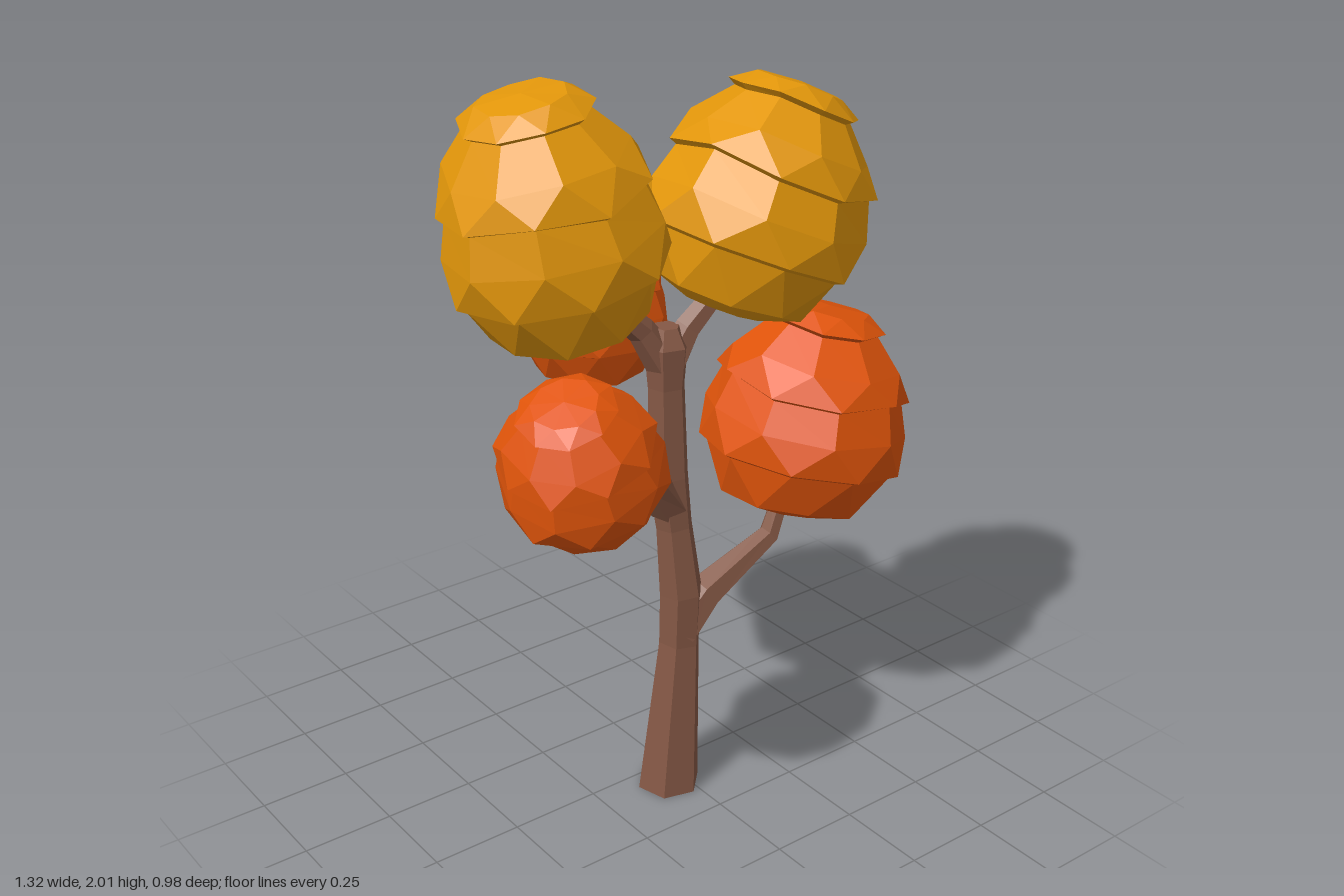
import * as THREE from 'three';

const bark = new THREE.MeshStandardMaterial({ name: 'bark brown', color: 0x855845 });
const orange = new THREE.MeshStandardMaterial({ name: 'leaf orange', color: 0xe0540a });
const yellow = new THREE.MeshStandardMaterial({ name: 'leaf yellow', color: 0xe2960a });

// Skin a list of equal-sized rings (each counter-clockwise seen from its far end), closing both ends
function skin(rings, start, end) {
  const pos = [];
  const tri = (a, b, c) => [a, b, c].forEach((p) => pos.push(p.x, p.y, p.z));
  const n = rings[0].length;
  for (let j = 0; j < n; j++) {
    const k = (j + 1) % n;
    tri(start, rings[0][k], rings[0][j]);
    for (let i = 0; i + 1 < rings.length; i++) {
      const a = rings[i], b = rings[i + 1];
      tri(a[j], a[k], b[j]);
      tri(a[k], b[k], b[j]);
    }
    const top = rings[rings.length - 1];
    tri(top[j], top[k], end);
  }
  const geo = new THREE.BufferGeometry();
  geo.setAttribute('position', new THREE.Float32BufferAttribute(pos, 3));
  geo.computeVertexNormals(); // unshared corners give faceted shading
  return geo;
}

// Tapered six-sided limb through points [x, y, z, radius]
function limb(name, pts) {
  const centres = pts.map((p) => new THREE.Vector3(p[0], p[1], p[2]));
  const rings = centres.map((c, i) => {
    const dir = centres[Math.min(i + 1, pts.length - 1)].clone()
      .sub(centres[Math.max(i - 1, 0)]).normalize();
    if (pts[i][1] === 0) dir.set(0, 1, 0); // flat foot
    const turn = new THREE.Quaternion().setFromUnitVectors(new THREE.Vector3(0, 1, 0), dir);
    return Array.from({ length: 6 }, (_, j) => {
      const a = (j / 6) * Math.PI * 2 + Math.PI / 12;
      return new THREE.Vector3(Math.sin(a), 0, Math.cos(a))
        .multiplyScalar(pts[i][3]).applyQuaternion(turn).add(c);
    });
  });
  const mesh = new THREE.Mesh(skin(rings, centres[0], centres[centres.length - 1]), bark);
  mesh.name = name;
  return mesh;
}

// Leaf clump profile from bottom to top: [radius, height, half-steps of twist, waviness]
const TIERS = [
  [0.38, -0.97, 0, 0],
  [0.72, -0.86, 1, 0.02],
  [0.92, -0.45, 2, 0],
  [1.00, -0.42, 2, 0],      // lower ledge
  [1.00, -0.10, 3, 0.03],
  [0.89, 0.22, 3, 0.05],
  [0.96, 0.25, 3, 0.05],    // middle ledge
  [0.82, 0.50, 4, 0.03],
  [0.53, 0.80, 4, 0.02],
  [0.60, 0.84, 4, 0.02],    // cap ledge
  [0.40, 0.97, 5, 0.01],
];

function clump(name, material, [x, y, z], radius, half, axis, seed) {
  const n = 9;
  const rings = TIERS.map(([r, h, twist, wave]) =>
    Array.from({ length: n }, (_, j) => {
      const a = ((j + twist * 0.5) / n) * Math.PI * 2 + seed;
      const rr = radius * r * (1 + 0.02 * Math.sin(j * 2.4 + seed * 3));
      return new THREE.Vector3(Math.sin(a) * rr,
        half * (h + wave * Math.sin(j * 2.1 + seed * 5)), Math.cos(a) * rr);
    }));
  const mesh = new THREE.Mesh(
    skin(rings, new THREE.Vector3(0, -half, 0), new THREE.Vector3(0, half, 0)), material);
  mesh.name = name;
  mesh.position.set(x, y, z);
  mesh.quaternion.setFromUnitVectors(new THREE.Vector3(0, 1, 0),
    new THREE.Vector3(...axis).normalize());
  return mesh;
}

export function createModel() {
  const tree = new THREE.Group();
  tree.name = 'autumnTree';

  // Trunk and branches
  tree.add(
    limb('trunk', [[-0.045, 0, 0.075, 0.088], [-0.015, 0.45, 0.082, 0.058], [-0.012, 0.6, 0.085, 0.06],
      [-0.028, 0.8, 0.075, 0.05], [-0.045, 0.95, 0.07, 0.056], [-0.05, 1.2, 0.07, 0.05],
      [-0.05, 1.31, 0.07, 0.06], [-0.05, 1.36, 0.07, 0.035]]),
    limb('lowerLeftBranch', [[-0.02, 0.48, 0.08, 0.06], [0.065, 0.575, 0.09, 0.053],
      [0.28, 0.685, 0.1, 0.031], [0.325, 0.8, 0.1, 0.025], [0.35, 0.95, 0.1, 0.02]]),
    limb('lowerRightBranch', [[-0.04, 0.86, 0.07, 0.055], [-0.13, 0.98, 0.1, 0.046],
      [-0.32, 1.025, 0.2, 0.028], [-0.38, 1.09, 0.24, 0.024], [-0.43, 1.17, 0.27, 0.018]]),
    limb('backBranch', [[-0.045, 0.88, 0.06, 0.05], [-0.045, 0.98, -0.02, 0.042],
      [-0.04, 1.055, -0.2, 0.027], [-0.03, 1.1, -0.28, 0.023], [-0.03, 1.2, -0.3, 0.02]]),
    limb('upperRightBranch', [[-0.05, 1.25, 0.07, 0.05], [-0.12, 1.36, 0.06, 0.037],
      [-0.23, 1.465, 0.05, 0.028], [-0.32, 1.58, 0.04, 0.02]]),
    limb('upperLeftBranch', [[-0.05, 1.25, 0.07, 0.05], [0.01, 1.345, 0.08, 0.037],
      [0.11, 1.45, 0.1, 0.028], [0.18, 1.55, 0.11, 0.02]]),
  );

  // Leaf clumps, leaning outward
  tree.add(
    clump('upperRightLeaves', yellow, [-0.373, 1.69, 0.04], 0.27, 0.312, [-0.21, 1, 0], 0.4),
    clump('upperLeftLeaves', yellow, [0.21, 1.655, 0.113], 0.283, 0.298, [0.42, 1, 0.04], 1.1),
    clump('lowerLeftLeaves', orange, [0.393, 1.035, 0.11], 0.276, 0.285, [0.25, 1, 0], 2.0),
    clump('lowerRightLeaves', orange, [-0.47, 1.19, 0.29], 0.2, 0.2, [-0.38, 1, 0.25], 2.9),
    clump('backLeaves', orange, [-0.028, 1.325, -0.292], 0.206, 0.225, [0, 1, 0], 0.2),
  );

  // Small yellow patch on the back clump
  const patch = new THREE.Mesh(new THREE.ConeGeometry(0.08, 0.009, 5).toNonIndexed(), yellow);
  patch.geometry.computeVertexNormals();
  patch.name = 'backLeafPatch';
  patch.position.set(-0.002, 1.55, -0.297);
  patch.scale.x = 0.8;
  tree.add(patch);

  return tree;
}
